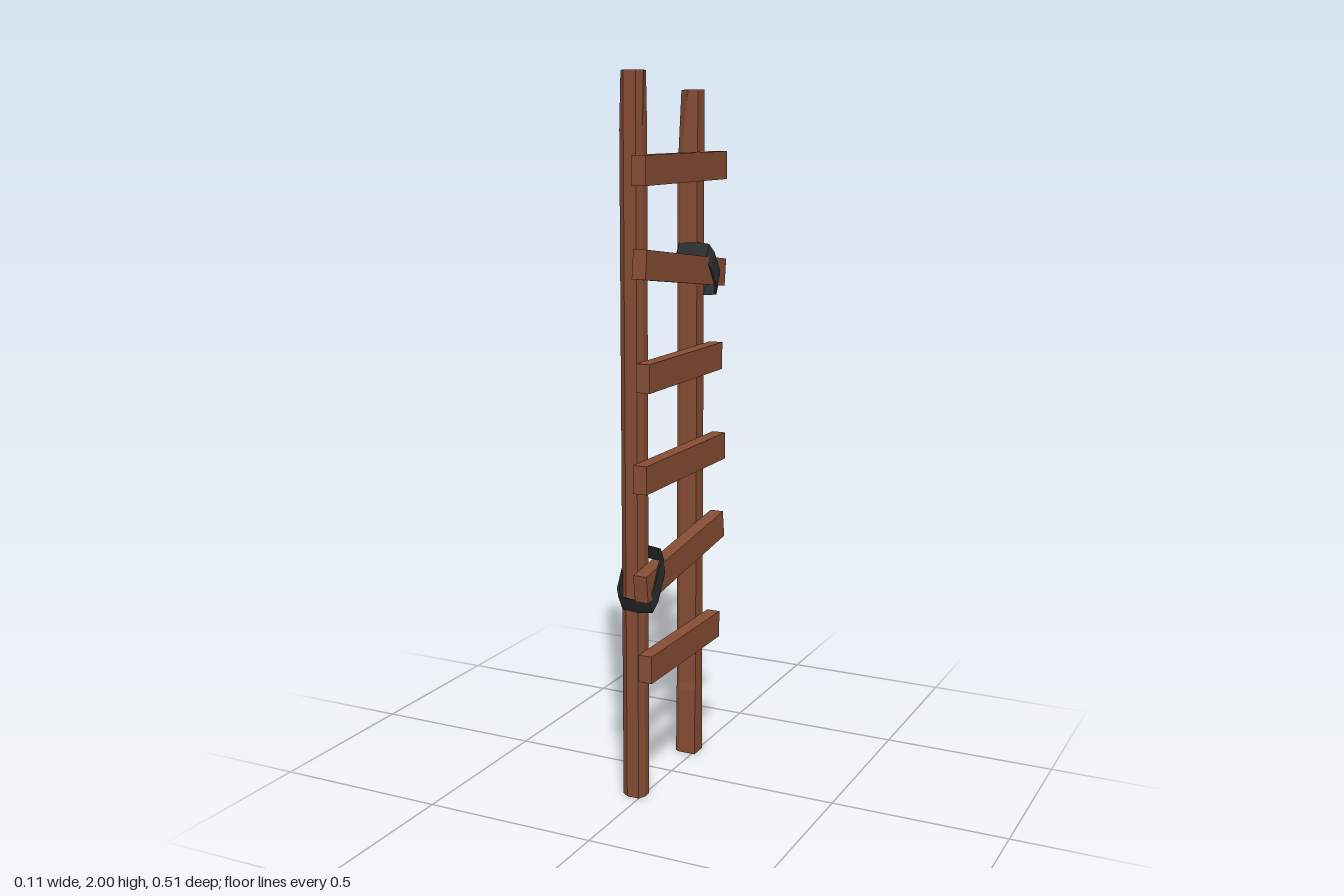
import * as THREE from 'three';

const wood = new THREE.MeshStandardMaterial({ color: 0x864d34, flatShading: true });
const strapMaterial = new THREE.MeshStandardMaterial({ color: 0x2b2d2e, flatShading: true });

// Skin a list of equal-sized cross-sections; loop joins last to first, otherwise ends are capped
function loft(sections, loop) {
  const n = sections[0].length, m = sections.length, index = [];
  for (let i = 0; i < (loop ? m : m - 1); i++) {
    const k = (i + 1) % m;
    for (let j = 0; j < n; j++) {
      const l = (j + 1) % n;
      const a = i * n + j, b = i * n + l, c = k * n + l, d = k * n + j;
      index.push(a, b, c, a, c, d);
    }
  }
  if (!loop) {
    const top = (m - 1) * n;
    for (let j = 1; j < n - 1; j++) index.push(0, j + 1, j, top, top + j, top + j + 1);
  }
  const geometry = new THREE.BufferGeometry();
  geometry.setAttribute('position', new THREE.Float32BufferAttribute(sections.flat(2), 3));
  geometry.setIndex(index);
  const flat = geometry.toNonIndexed();
  flat.computeVertexNormals();
  return flat;
}

// Rough-hewn post from [height, outline of x,z points] rings
function post(name, rings) {
  const sections = rings.map(([y, outline]) => outline.map(([x, z]) => [x, y, z]));
  const mesh = new THREE.Mesh(loft(sections, false), wood);
  mesh.name = name;
  return mesh;
}

// Flat band wound at a slant around a post and its rung
function strap(name, y, z, slope) {
  const path = [
    [0.046, 0.037], [0.055, 0.02], [0.055, -0.02], [0.046, -0.037], [0, -0.04],
    [-0.048, -0.038], [-0.057, -0.027], [-0.057, 0.027], [-0.047, 0.038], [0, 0.04],
  ];
  const lean = -Math.sign(slope) * 0.012, half = 0.022;
  const sections = path.map(([px, pz]) =>
    [[1, 1], [1, -1], [0.9, -1], [0.9, 1]].map(([s, side]) =>
      [px * s, y + pz * slope + side * half, z + pz * s + side * lean]));
  const mesh = new THREE.Mesh(loft(sections, true), strapMaterial);
  mesh.name = name;
  return mesh;
}

export function createModel() {
  const group = new THREE.Group();
  group.name = 'ladder';

  // Tall post, at the front
  const tall = [
    [0.01, 0.192], [0.01, 0.166], [-0.001, 0.152], [-0.053, 0.152],
    [-0.055, 0.198], [-0.036, 0.212], [0, 0.212],
  ];
  const tallTop = [
    [0.012, 0.19], [0.004, 0.16], [-0.005, 0.15], [-0.051, 0.15],
    [-0.052, 0.195], [-0.036, 0.21], [0, 0.21],
  ];
  group.add(post('tallPost', [[0, tall], [1.85, tall], [2, tallTop]]));

  // Short post, at the back, flared at the foot and trimmed at the top
  const short = (zInner, trim) => [
    [0.009, zInner], [0.009, -0.19], [0, -0.203], [-0.055, -0.203],
    [-0.055, zInner - 0.006 - trim], [-0.042 + trim, zInner],
  ];
  group.add(post('shortPost', [
    [0, short(-0.137, 0)], [0.2, short(-0.14, 0)], [0.22, short(-0.143, 0)],
    [1.72, short(-0.143, 0)], [1.955, short(-0.148, 0.02)],
  ]));

  // Rungs: height, length, centre z, tilt
  [
    [0.393, 0.45, 0.003, 0], [0.663, 0.505, 0.002, 0.135], [0.933, 0.51, 0, 0],
    [1.204, 0.465, 0.002, 0], [1.475, 0.505, 0.002, -0.125], [1.747, 0.51, 0, 0],
  ].forEach(([y, length, z, tilt], i) => {
    const rung = new THREE.Mesh(new THREE.BoxGeometry(0.04, 0.078, length), wood);
    rung.name = `rung${i + 1}`;
    rung.position.set(0.03, y, z);
    rung.rotation.x = tilt;
    group.add(rung);
  });

  // Straps over the two slanted rungs
  group.add(strap('lowerStrap', 0.638, 0.187, -1.7));
  group.add(strap('upperStrap', 1.458, -0.17, 1.4));
  return group;
}
